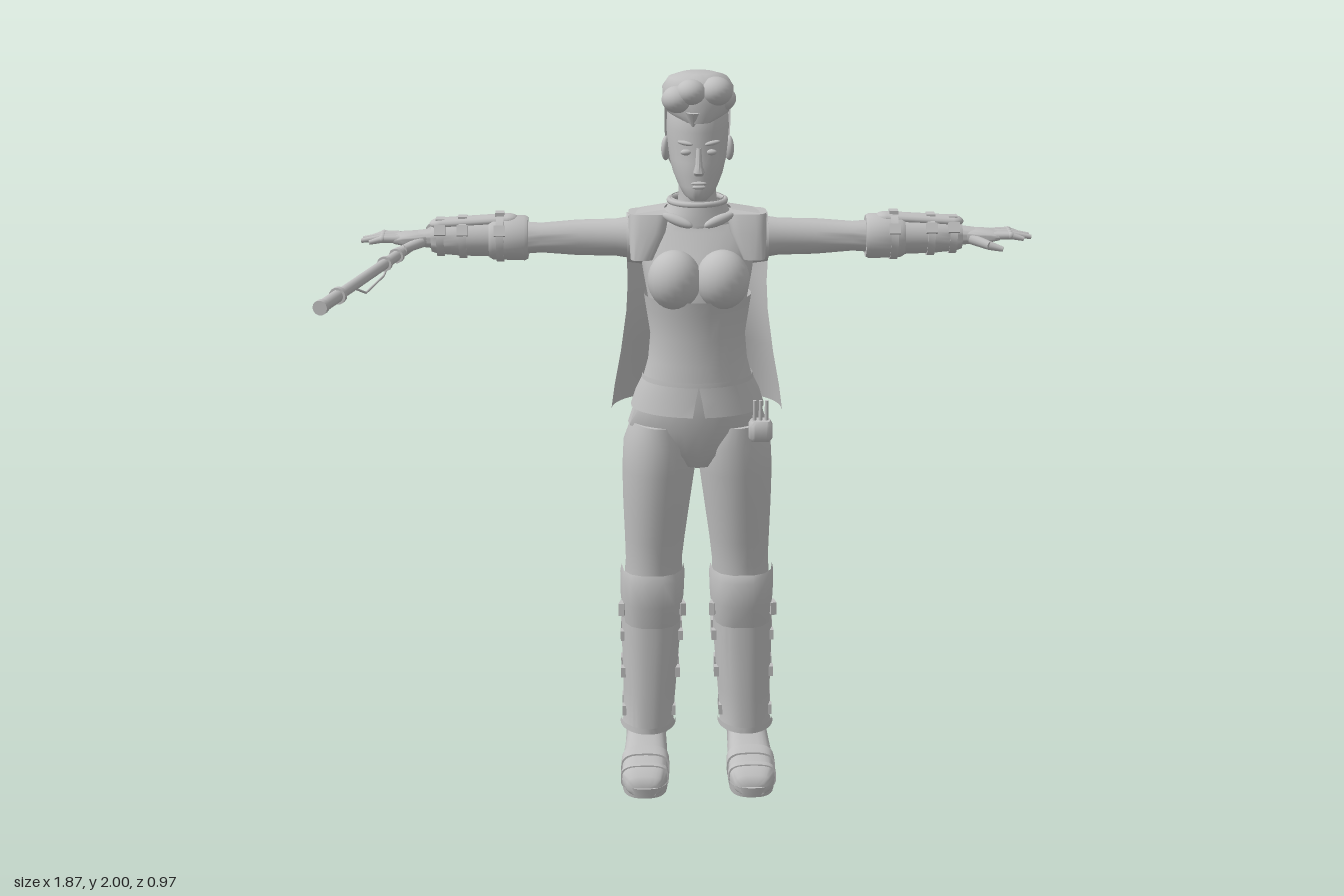
import * as THREE from 'three';
import { toCreasedNormals } from 'three/addons/utils/BufferGeometryUtils.js';

const grey = new THREE.MeshStandardMaterial({ color: 0xc0c0c0, side: THREE.DoubleSide });
const PI = Math.PI;

// Lofts sections [y, halfWidth, zFront, zBack, centreX, gap], listed bottom to top.
// Angles run from the front (+z) towards +x; a partial arc gives an open shell.
function loft(sections, { from = 0, arc = 2 * PI, pow = 1, seg = 28, cap = true } = {}) {
  const pos = [], idx = [], n = seg + 1;
  const bend = v => Math.sign(v) * Math.abs(v) ** pow;
  for (const [y, hw, zf, zb, cx = 0, gap = 0] of sections) {
    for (let j = 0; j < n; j++) {
      const a = from + gap + (arc - 2 * gap) * j / seg;
      pos.push(cx + hw * bend(Math.sin(a)), y, (zf + zb) / 2 + (zf - zb) / 2 * bend(Math.cos(a)));
    }
  }
  for (let i = 0; i < sections.length - 1; i++) {
    for (let j = 0; j < seg; j++) {
      const a = i * n + j, b = a + 1, c = b + n, d = a + n;
      idx.push(a, b, c, a, c, d);
    }
  }
  if (cap && arc > 6) {
    [0, sections.length - 1].forEach((r, top) => {
      const [y, , zf, zb, cx = 0] = sections[r], c = pos.length / 3;
      pos.push(cx, y, (zf + zb) / 2);
      for (let j = 0; j < seg; j++) {
        const a = r * n + j;
        if (top) idx.push(a, a + 1, c); else idx.push(a + 1, a, c);
      }
    });
  }
  const g = new THREE.BufferGeometry();
  g.setAttribute('position', new THREE.Float32BufferAttribute(pos, 3));
  g.setIndex(idx);
  return toCreasedNormals(g, 0.85);
}

function add(parent, name, geo, x = 0, y = 0, z = 0, rx = 0, ry = 0, rz = 0) {
  const m = new THREE.Mesh(geo, grey);
  m.name = name;
  m.position.set(x, y, z);
  m.rotation.set(rx, ry, rz);
  parent.add(m);
  return m;
}
const ball = (x, y, z) => new THREE.SphereGeometry(1, 20, 14).scale(x, y, z);
const box = (x, y, z) => new THREE.BoxGeometry(x, y, z);
const FRONT = { from: -PI / 2, arc: PI }, BACK = { from: PI / 2, arc: PI };

function rod(parent, name, a, b, r, r2 = r) {
  const p = new THREE.Vector3(...a), q = new THREE.Vector3(...b), d = q.clone().sub(p);
  const m = add(parent, name, new THREE.CylinderGeometry(r2, r, d.length(), 14));
  m.position.copy(p).add(q).multiplyScalar(0.5);
  m.quaternion.setFromUnitVectors(new THREE.Vector3(0, 1, 0), d.normalize());
}

function buildHead(g) {
  add(g, 'neck', loft([[1.56, .075, -.1, -.24], [1.62, .055, -.1, -.23], [1.67, .05, -.105, -.22], [1.76, .052, -.1, -.225]]));
  add(g, 'head', loft([[1.668, .022, -.036, -.08], [1.683, .04, -.026, -.12], [1.705, .053, -.027, -.16], [1.735, .066, -.026, -.19],
    [1.77, .075, -.028, -.22], [1.81, .08, -.036, -.235], [1.85, .083, -.034, -.243], [1.9, .08, -.045, -.243],
    [1.935, .066, -.07, -.225], [1.955, .03, -.11, -.18]]));
  add(g, 'nose', loft([[1.738, .012, -.018, -.05], [1.747, .016, -.008, -.05], [1.765, .01, -.013, -.05], [1.81, .007, -.03, -.05]], { seg: 12 }));
  add(g, 'upperLip', ball(.021, .005, .008), 0, 1.718, -.026);
  add(g, 'lowerLip', ball(.018, .006, .008), 0, 1.708, -.026);
  for (const s of [-1, 1]) {
    add(g, 'eye', ball(.015, .008, .009), s * .033, 1.798, -.043);
    add(g, 'brow', ball(.022, .006, .008), s * .036, 1.823, -.04, 0, s * .35, s * .15);
    add(g, 'ear', ball(.012, .034, .021), s * .084, 1.79, -.147, .15, s * .3);
  }
  // close-cropped back, swept-up top
  add(g, 'croppedHair', loft([[1.7, .05, -.14, -.222], [1.76, .078, -.08, -.236], [1.83, .087, -.07, -.25], [1.9, .088, -.06, -.25], [1.95, .07, -.06, -.235]], BACK));
  add(g, 'sweptHair', loft([[1.875, .045, -.032, -.15], [1.895, .082, -.03, -.21], [1.925, .093, -.03, -.228], [1.96, .094, -.035, -.222],
    [1.985, .078, -.05, -.195], [1.997, .045, -.075, -.16]], { cap: true }));
  for (const [x, y, z, r] of [[-.055, 1.935, -.06, .042], [-.02, 1.955, -.05, .04], [.045, 1.955, -.065, .045],
    [.06, 1.93, -.1, .04], [0, 1.965, -.1, .035], [-.05, 1.955, -.14, .04], [.05, 1.955, -.16, .04]])
    add(g, 'hairLock', ball(r, r * .85, r), x, y, z);
  add(g, 'foreheadLock', new THREE.ConeGeometry(.02, .05, 10), -.015, 1.88, -.042, PI + .1);
}

function buildTorso(g) {
  add(g, 'shirt', loft([[1.15, .14, -.02, -.24], [1.28, .12, -.025, -.22], [1.38, .132, -.02, -.24], [1.45, .145, -.025, -.25],
    [1.51, .155, -.055, -.26], [1.57, .165, -.095, -.26], [1.6, .135, -.11, -.255], [1.625, .07, -.115, -.24]]));
  for (const s of [-1, 1]) add(g, 'bust', ball(.072, .08, .072), s * .064, 1.455, -.042);
  add(g, 'corset', loft([[1.17, .147, -.008, -.248], [1.22, .134, -.012, -.236], [1.29, .128, -.014, -.228],
    [1.36, .139, -.008, -.245], [1.4, .145, .0, -.25]], { cap: false }));
  add(g, 'corsetWaistBand', loft([[1.165, .152, -.003, -.253], [1.178, .15, -.004, -.25]], { cap: false }));
  // flared hem with a front notch
  add(g, 'corsetHem', loft([[1.085, .182, .008, -.285, 0, .09], [1.13, .168, .0, -.27, 0, .05], [1.17, .15, -.004, -.25, 0, 0]], { cap: false }));
  add(g, 'hips', loft([[.92, .06, -.075, -.24], [.96, .14, -.05, -.275], [1.03, .19, -.03, -.285], [1.1, .168, -.02, -.27], [1.18, .14, -.025, -.24]]));
  // cape draped over the back and shoulders
  add(g, 'cape', loft([[1.045, .236, -.005, -.395], [1.12, .226, -.01, -.375], [1.22, .208, -.025, -.34], [1.34, .192, -.04, -.3],
    [1.42, .188, -.03, -.305], [1.5, .19, .02, -.3], [1.58, .19, .04, -.287], [1.615, .185, .03, -.265], [1.63, .09, .01, -.24]],
  { ...BACK, pow: .8 }));
  add(g, 'collar', loft([[1.59, .11, -.085, -.26], [1.62, .085, -.088, -.255], [1.655, .07, -.095, -.25]], { cap: false }));
  add(g, 'collarRim', new THREE.TorusGeometry(.075, .008, 8, 32), 0, 1.645, -.17, PI / 2);
  for (const s of [-1, 1]) {
    add(g, 'collarTie', ball(.045, .014, .014), s * .055, 1.607, -.082, 0, s * .4, s * .3);
    add(g, 'capeLapel', loft([[1.5, .03, -.07, -.14, s * .15], [1.57, .05, -.08, -.19, s * .135], [1.618, .055, -.1, -.2, s * .13]], { pow: .6 }));
  }
  // hip pouch with small tubes
  const p = new THREE.Group();
  p.name = 'pouch';
  p.position.set(.165, 1.055, .012);
  g.add(p);
  add(p, 'pouchBody', loft([[-.03, .026, .022, -.022], [-.02, .032, .03, -.03], [.015, .032, .03, -.03], [.026, .026, .022, -.022]], { pow: .5 }));
  for (const x of [-.016, 0, .016]) rod(p, 'pouchTube', [x, .02, 0], [x, .08, 0], .005);
}

function buildArm(g) {
  // sections along the arm, laid on +x
  const tube = (rows, o) => loft(rows.map(([x, ry, rz]) => [x, ry, rz, -rz]), o).rotateZ(-PI / 2);
  add(g, 'arm', tube([[.1, .06, .07], [.17, .058, .06], [.22, .05, .047], [.32, .048, .046], [.42, .04, .041], [.5, .046, .045],
    [.6, .042, .043], [.7, .028, .032], [.75, .022, .032]]));
  add(g, 'capeSleeve', tube([[.12, .075, .085], [.19, .066, .078]], { cap: false }));
  add(g, 'bracerCuff', tube([[.455, .056, .06], [.465, .061, .064], [.55, .058, .06], [.56, .052, .054]]));
  add(g, 'bracer', tube([[.55, .05, .053], [.64, .047, .05], [.7, .041, .045], [.715, .036, .04]]));
  add(g, 'bracerPlate', new THREE.CapsuleGeometry(.03, .18, 6, 14).scale(.5, 1, 1), .6, .046, 0, 0, 0, -PI / 2 - .06);
  for (const [x, r] of [[.53, .064], [.63, .054], [.69, .048]]) {
    add(g, 'bracerStrap', tube([[x - .01, r, r], [x + .01, r, r]]));
    add(g, 'bracerBuckle', box(.03, .028, .012), x, .03, r * .88, -.5);
    add(g, 'bracerBuckle', box(.024, .014, .035), x, r, 0);
  }
  // open hand, palm down
  add(g, 'palm', tube([[.72, .018, .03], [.75, .02, .038], [.79, .017, .043], [.815, .011, .04]], { pow: .8 }));
  [[.028, .88], [.01, .903], [-.01, .9], [-.03, .875]].forEach(([z, tip], i) => {
    rod(g, 'finger', [.8, .003, z], [.845, .005, z * 1.2], .0105, .0095);
    rod(g, 'finger', [.845, .005, z * 1.2], [tip, -.003, z * 1.35], .0095, .006);
    add(g, 'knuckle', ball(.0105, .0105, .0105), .845, .005, z * 1.2);
  });
  rod(g, 'thumb', [.74, -.005, .025], [.785, -.016, .06], .015, .012);
  rod(g, 'thumb', [.785, -.016, .06], [.82, -.024, .07], .012, .007);
}

function buildLeg(g) {
  add(g, 'trousers', loft([[.48, .068, -.09, -.25, .125], [.54, .076, -.08, -.264, .125], [.58, .08, -.08, -.272, .122], [.63, .078, -.08, -.255, .12],
    [.7, .083, -.07, -.25, .117], [.8, .092, -.055, -.268, .112], [.9, .1, -.042, -.275, .106], [.98, .102, -.035, -.287, .1], [1.04, .08, -.04, -.28, .1]]));
  add(g, 'boot', loft([[.08, .056, -.1, -.25, .145], [.15, .058, -.1, -.25, .138], [.22, .063, -.095, -.25, .134], [.34, .071, -.09, -.262, .13],
    [.44, .074, -.085, -.265, .127], [.51, .074, -.085, -.258, .126]]));
  // armour plates on the front half
  add(g, 'shinGuard', loft([[.135, .074, .0, -.195 - .01, .138], [.15, .07, -.0, -.2, .137], [.25, .074, .005, -.205, .133].map((v, i) => i === 2 ? -.02 : v),
    [.4, .082, -.01, -.2, .129], [.56, .084, -.0, -.2, .126]].map(([y, w, , zb, x]) => [y, w, -.082, -.29, x]), { ...FRONT, pow: .85 }));
  add(g, 'shinGuardRim', loft([[.135, .078, -.075, -.29, .138], [.152, .078, -.075, -.29, .137]], FRONT));
  add(g, 'kneeGuard', loft([[.455, .08, -.065, -.29, .126], [.52, .088, -.05, -.3, .125], [.59, .09, -.048, -.3, .124], [.612, .086, -.058, -.29, .124]],
    { ...FRONT, seg: 7, pow: .75 }));
  // back straps, buckles and side studs
  for (const [y, w, cx, z] of [[.41, .08, .127, -.272], [.3, .076, .131, -.265], [.185, .068, .136, -.26]]) {
    add(g, 'legStrap', loft([[y - .018, w, -.1, z, cx], [y + .018, w, -.1, z, cx]], BACK));
    for (const s of [-1, 1]) {
      add(g, 'strapBuckle', box(.012, .046, .036), cx + s * w, y, -.21);
      add(g, 'guardStud', box(.014, .028, .026), cx + s * w, y, -.145);
    }
    add(g, 'rearBuckle', box(.045, .032, .028), cx, y, z - .01);
  }
  for (const s of [-1, 1]) add(g, 'kneeStud', box(.016, .036, .034), .126 + s * .083, .5, -.115, 0, s * .2);
  // foot sections run heel to toe
  const foot = rows => loft(rows.map(([z, w, top, x]) => [z, w, -.004, -top, x]), { pow: .65 }).rotateX(PI / 2);
  add(g, 'shoe', foot([[-.255, .04, .13, .142], [-.235, .053, .15, .142], [-.13, .056, .165, .143], [-.09, .06, .135, .145],
    [-.04, .064, .098, .148], [.015, .063, .076, .15], [.045, .05, .06, .15], [.056, .035, .045, .15]]));
  add(g, 'shoeStrap', foot([[-.055, .067, .112, .147], [-.028, .068, .098, .148]]));
  add(g, 'toeCap', foot([[.0, .067, .084, .149], [.014, .067, .08, .15]]));
  add(g, 'sole', loft([[0, .062, .058, -.13, .149], [.03, .067, .064, -.14, .149]], { pow: .75 }));
  add(g, 'heel', loft([[0, .052, -.14, -.258, .143], [.045, .055, -.1, -.262, .143]], { pow: .6 }));
}

function buildStaff(g) {
  const a = [-.667, 1.515, -.478], b = [-.917, 1.515, .478];
  const at = (t, dy = 0) => [a[0] + (b[0] - a[0]) * t, 1.515 + dy, a[2] + (b[2] - a[2]) * t];
  rod(g, 'staffShaft', a, b, .014);
  for (const [t, u, r] of [[0, .09, .018], [.08, .095, .022], [.4, .415, .02], [.5, .512, .02], [.86, .875, .022], [.875, .985, .016], [.98, 1, .019]])
    rod(g, 'staffFitting', at(t), at(u), r);
  const wire = [at(.74, -.012), at(.66, -.042), at(.52, -.03), at(.48, -.01)];
  for (let i = 0; i < 3; i++) rod(g, 'staffWire', wire[i], wire[i + 1], .003);
}

export function createModel() {
  const root = new THREE.Group();
  root.name = 'figure';
  const body = new THREE.Group();
  body.name = 'body';
  body.position.x = .033;
  root.add(body);
  buildHead(body);
  buildTorso(body);
  for (const s of [1, -1]) {
    const side = s > 0 ? 'left' : 'right';
    const arm = new THREE.Group(), leg = new THREE.Group();
    arm.name = side + 'Arm';
    leg.name = side + 'Leg';
    arm.position.set(0, 1.54, -.185);
    arm.scale.x = leg.scale.x = s;
    body.add(arm, leg);
    buildArm(arm);
    buildLeg(leg);
  }
  buildStaff(root);
  return root;
}
